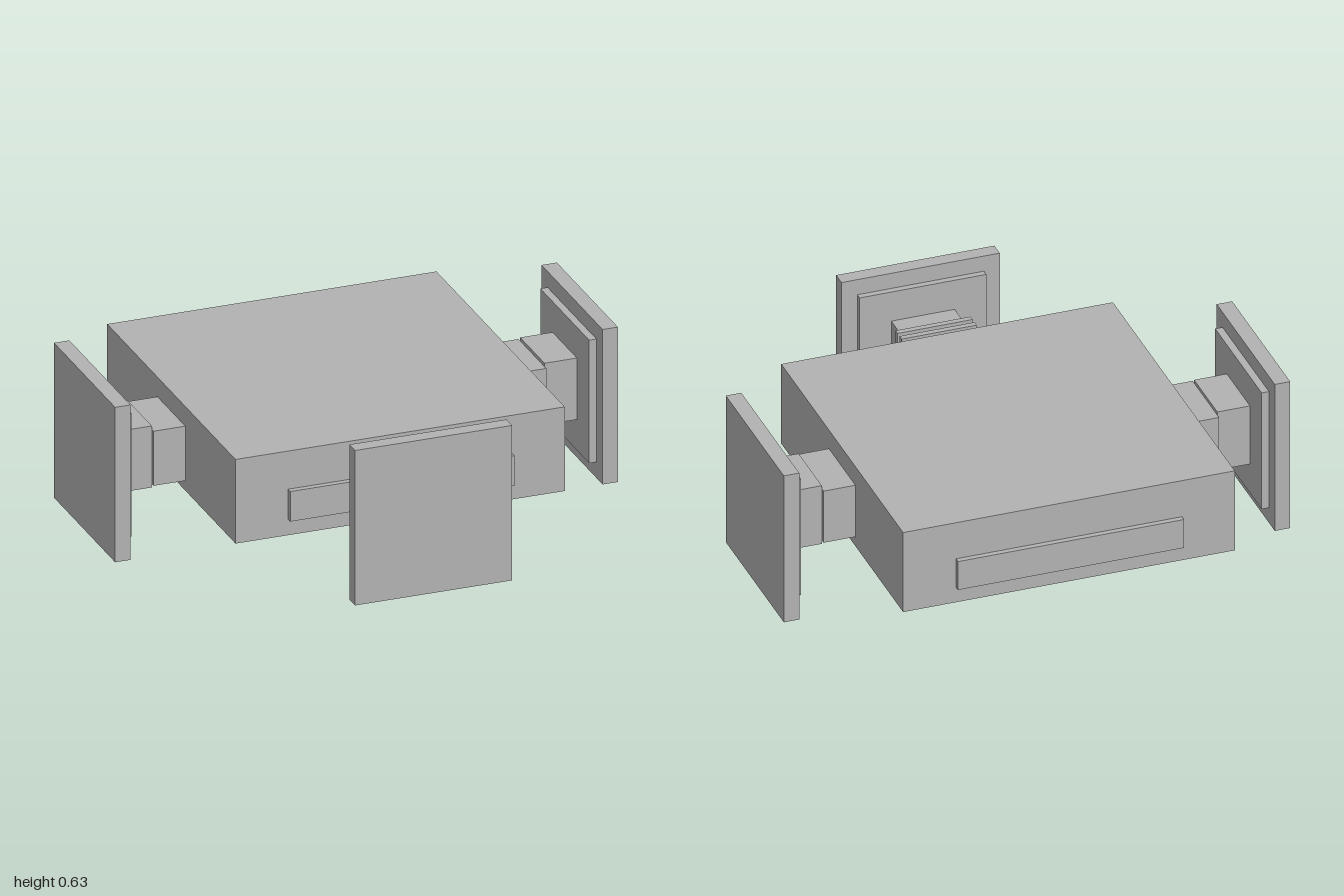
import * as THREE from 'three';

const grey = new THREE.MeshStandardMaterial({ color: 0xb2b2b2 });
grey.name = 'plainGrey';

const MID_Y = 0.315; // height of the common centre line
const MID_Z = -0.16; // centre of the body in depth

// Box centred on the local axis, running from z0 to z1
function block(name, w, h, z0, z1) {
  const mesh = new THREE.Mesh(new THREE.BoxGeometry(w, h, z1 - z0), grey);
  mesh.name = name;
  mesh.position.z = (z0 + z1) / 2;
  return mesh;
}

// Stepped connector pointing along local +z; distances start at the body face
function connector(name, neckEnd, stemEnd, stepEnd, plateEnd) {
  const g = new THREE.Group();
  g.name = name;
  g.add(
    block('innerNeck', 0.285, 0.222, 0, neckEnd),
    block('outerNeck', 0.25, 0.25, neckEnd, stemEnd),
    block('backingPlate', 0.5, 0.5, stemEnd, stepEnd),
    block('endPlate', 0.625, 0.63, stepEnd, plateEnd),
  );
  return g;
}

export function createModel() {
  const model = new THREE.Group();
  model.name = 'boxWithConnectors';

  // Main body with a raised strip on the front and the back
  const body = new THREE.Group();
  body.name = 'body';
  body.position.set(0, MID_Y + 0.02, MID_Z);
  body.add(block('bodyBox', 1.31, 0.342, -0.656, 0.656));
  for (const [name, z0, z1] of [['frontStrip', 0.656, 0.679], ['backStrip', -0.678, -0.656]]) {
    const strip = block(name, 0.892, 0.122, z0, z1);
    strip.position.y = -0.045;
    body.add(strip);
  }
  model.add(body);

  // Mirrored side connectors
  for (const side of [-1, 1]) {
    const c = connector(side > 0 ? 'leftConnector' : 'rightConnector', 0.126, 0.255, 0.284, 0.345);
    c.rotation.y = side * Math.PI / 2;
    c.position.set(side * 0.655, MID_Y, MID_Z);
    model.add(c);
  }

  // Front connector with two collars around its neck
  const front = connector('frontConnector', 0.151, 0.259, 0.284, 0.342);
  front.position.set(0, MID_Y, 0.496);
  front.add(
    block('innerCollar', 0.296, 0.298, 0.084, 0.107),
    block('outerCollar', 0.296, 0.298, 0.128, 0.151),
  );
  model.add(front);

  return model;
}
